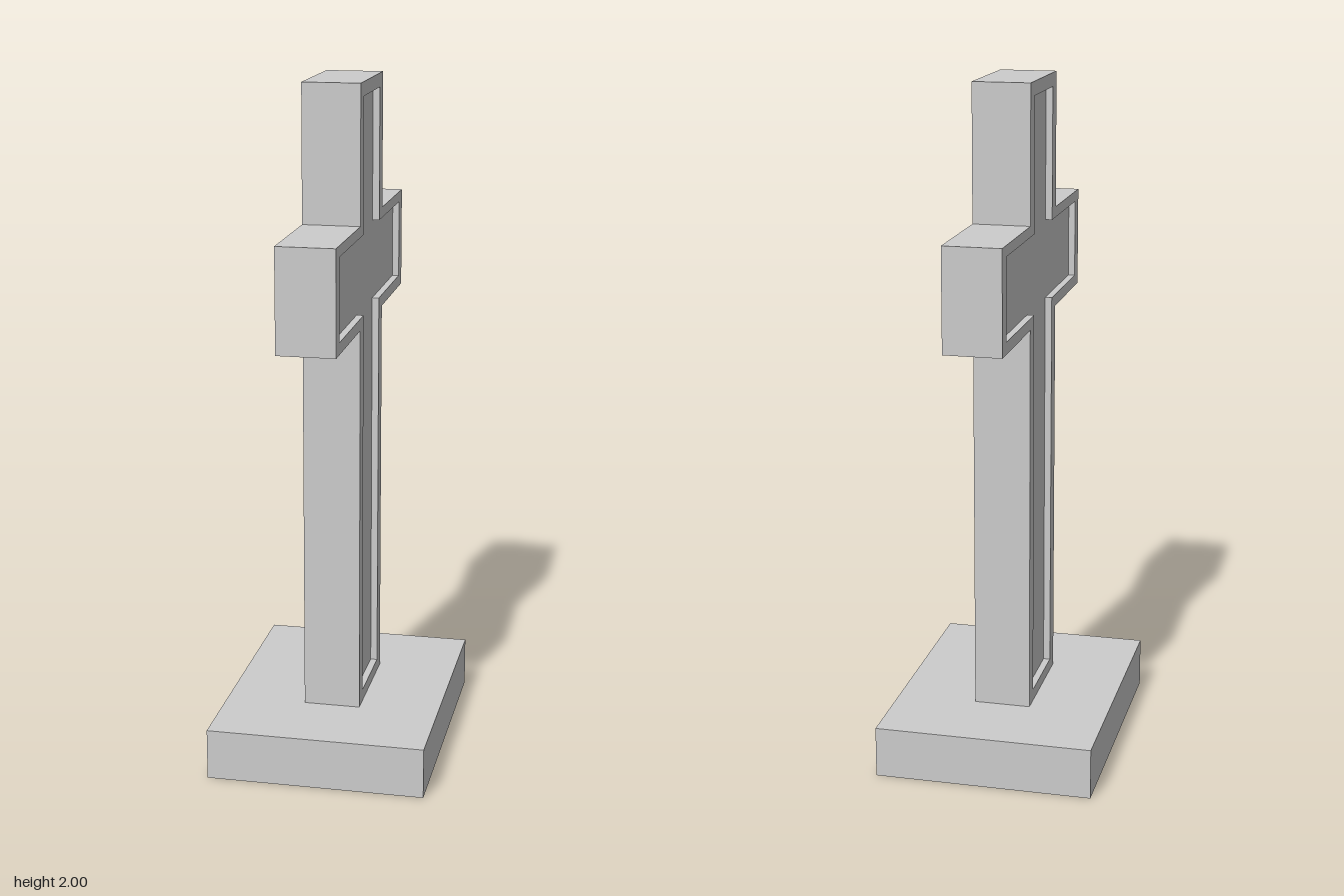
import * as THREE from 'three';

// Closed cross outline: stem half-width, arm half-length, and the four heights
function crossPoints(stem, arm, bottom, armLow, armHigh, top) {
  const half = [[stem, bottom], [stem, armLow], [arm, armLow], [arm, armHigh], [stem, armHigh], [stem, top]];
  const mirrored = half.map(([u, v]) => [-u, v]).reverse();
  return [...half, ...mirrored].map(([u, v]) => new THREE.Vector2(u, v));
}

export function createModel() {
  const group = new THREE.Group();
  const material = new THREE.MeshStandardMaterial({ color: 0xcccccc, flatShading: true });
  const thickness = 0.167;
  const recess = 0.02;

  function add(name, geometry) {
    const mesh = new THREE.Mesh(geometry, material);
    mesh.name = name;
    group.add(mesh);
    return mesh;
  }

  // Extrudes a shape centred on its depth, then turns it so its faces look along x
  function slab(shape, depth) {
    return new THREE.ExtrudeGeometry(shape, { depth, bevelEnabled: false })
      .translate(0, 0, -depth / 2)
      .rotateY(Math.PI / 2);
  }

  // Plinth
  add('base', new THREE.BoxGeometry(0.64, 0.15, 0.834)).position.y = 0.075;

  // Raised rim running round the cross through its full thickness
  const inner = crossPoints(0.118, 0.453, 0.185, 1.34, 1.573, 1.96);
  const rim = new THREE.Shape(crossPoints(0.167, 0.5, 0.15, 1.306, 1.604, 2));
  rim.holes.push(new THREE.Path(inner));
  add('crossRim', slab(rim, thickness));

  // Sunken panel showing on both faces
  add('crossPanel', slab(new THREE.Shape(inner), thickness - 2 * recess));

  return group;
}
